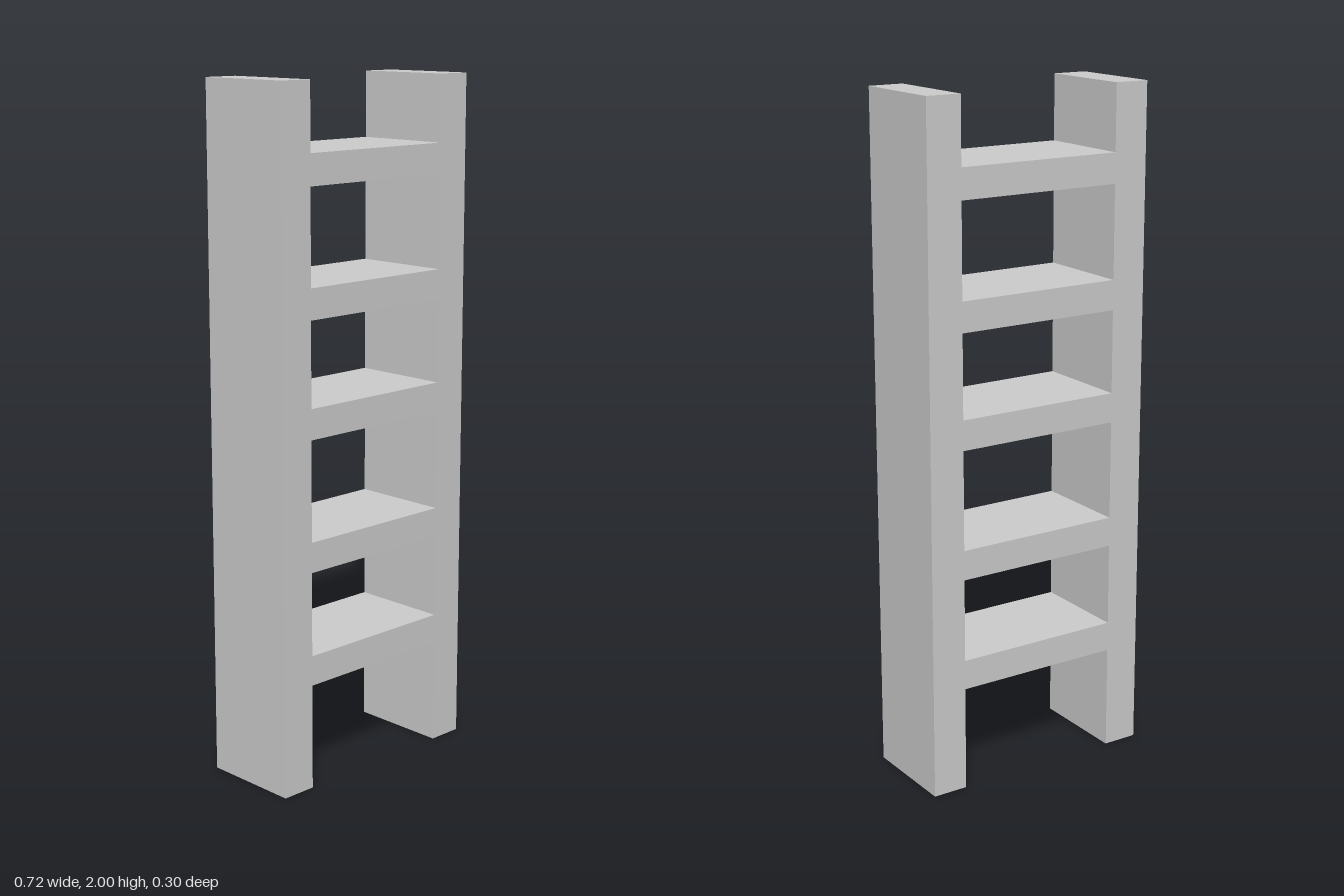
import * as THREE from 'three';

export function createModel() {
  const group = new THREE.Group();
  const material = new THREE.MeshStandardMaterial({ color: 0xcccccc, flatShading: true });
  const outer = 0.359, inner = 0.253, depth = 0.298, height = 2;

  const addBox = (name, width, tall, x, y) => {
    const mesh = new THREE.Mesh(new THREE.BoxGeometry(width, tall, depth), material);
    mesh.name = name;
    mesh.position.set(x, y, 0);
    group.add(mesh);
  };

  // Two upright rails
  for (const side of [-1, 1]) {
    addBox(side > 0 ? 'leftRail' : 'rightRail', outer - inner, height,
      side * (outer + inner) / 2, height / 2);
  }

  // Flat rungs, slightly unevenly spaced, butting against the rails
  [0.355, 0.689, 1.07, 1.403, 1.764].forEach((y, i) => {
    addBox(`rung${i + 1}`, inner * 2, 0.088, 0, y);
  });

  return group;
}
